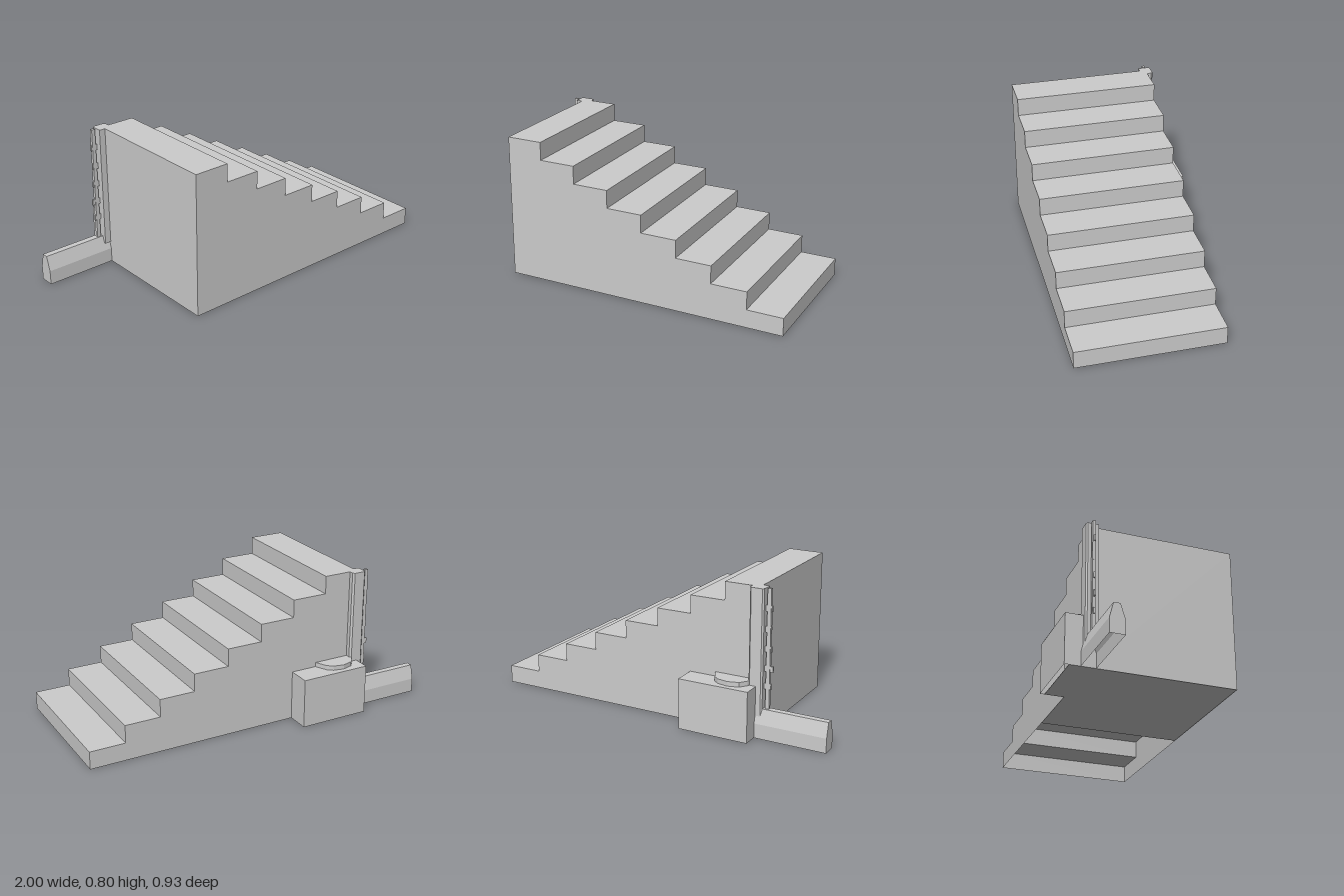
import * as THREE from 'three';

export function createModel() {
  const model = new THREE.Group();
  const mat = new THREE.MeshStandardMaterial({ color: 0xcccccc, flatShading: true, side: THREE.DoubleSide });
  const add = (name, geo, parent = model) => {
    const mesh = new THREE.Mesh(geo, mat);
    mesh.name = name;
    parent.add(mesh);
    return mesh;
  };
  const group = (name) => {
    const g = new THREE.Group();
    g.name = name;
    model.add(g);
    return g;
  };
  const box = (name, x0, x1, y0, y1, z0, z1, parent) =>
    add(name, new THREE.BoxGeometry(x1 - x0, y1 - y0, z1 - z0), parent)
      .position.set((x0 + x1) / 2, (y0 + y1) / 2, (z0 + z1) / 2);
  // Flat rectangle, centred and turned
  const panel = (name, w, h, pos, rot, parent) => {
    const m = add(name, new THREE.PlaneGeometry(w, h), parent);
    m.position.set(...pos);
    m.rotation.set(...rot);
  };
  // Prism standing upright from a plan outline of [x, z] points
  const upright = (name, pts, y0, y1) => {
    const shape = new THREE.Shape(pts.map(([x, z]) => new THREE.Vector2(x, -z)));
    const geo = new THREE.ExtrudeGeometry(shape, { depth: y1 - y0, bevelEnabled: false });
    geo.rotateX(-Math.PI / 2);
    add(name, geo).position.y = y0;
  };

  // Staircase: a thin shell, open underneath at its low end
  const stairs = group('staircase');
  const steps = 8, run = 0.2, rise = 0.1, back = -0.335, front = 0.465;
  const depth = front - back, midZ = (front + back) / 2;
  const outline = [new THREE.Vector2(-0.6, 0), new THREE.Vector2(1, 0)];
  for (let i = 0; i < steps; i++) {
    const x = 1 - i * run, y = (i + 1) * rise;
    outline.push(new THREE.Vector2(x, y), new THREE.Vector2(x - run, y));
    panel('tread', run, depth, [x - run / 2, y, midZ], [-Math.PI / 2, 0, 0], stairs);
    panel('riser', depth, rise, [x, y - rise / 2, midZ], [0, Math.PI / 2, 0], stairs);
  }
  panel('endWall', depth, steps * rise, [-0.6, steps * rise / 2, midZ], [0, -Math.PI / 2, 0], stairs);
  add('frontWall', new THREE.ShapeGeometry(new THREE.Shape(outline)), stairs).position.z = front;
  const backWall = add('backWall', new THREE.ShapeGeometry(new THREE.Shape(outline)), stairs);
  backWall.geometry.scale(1, 1, -1);
  backWall.position.z = back;
  box('floorSlab', -0.599, 0.2, 0.002, rise, back + 0.001, front - 0.001, stairs);

  // Side box, open at the bottom, with a thin plate beneath
  const sideBox = group('sideBox');
  panel('boxTop', 0.4, 0.13, [-0.4, 0.28, -0.4], [-Math.PI / 2, 0, 0], sideBox);
  panel('boxBack', 0.4, 0.28, [-0.4, 0.14, -0.465], [0, Math.PI, 0], sideBox);
  for (const [x, turn] of [[-0.6, -1], [-0.2, 1]])
    panel('boxEnd', 0.13, 0.28, [x, 0.14, -0.4], [0, turn * Math.PI / 2, 0], sideBox);
  box('basePlate', -0.6, -0.2, 0, 0.003, -0.44, -0.23);

  // Faceted cap on the box
  upright('cap', [[-0.35, -0.336], [-0.38, -0.4], [-0.41, -0.425], [-0.47, -0.437],
    [-0.53, -0.42], [-0.56, -0.38], [-0.57, -0.336]], 0.28, 0.305);

  // Kerb rail: bevelled section swept along x, open below
  const section = [[-0.3, 0], [-0.3, 0.08], [-0.325, 0.16], [-0.36, 0.16], [-0.38, 0.08], [-0.38, 0]];
  const rail = group('rail');
  const railShape = new THREE.Shape(section.map(([z, y]) => new THREE.Vector2(-z, y)));
  for (const x of [-1, -0.6]) {
    const end = add('railEnd', new THREE.ShapeGeometry(railShape), rail);
    end.geometry.rotateY(Math.PI / 2);
    if (x === -1) end.geometry.index.array.reverse();
    end.geometry.computeVertexNormals();
    end.position.x = x;
  }
  const verts = [], index = [];
  section.forEach(([z, y], i) => {
    verts.push(-1, y, z, -0.6, y, z);
    if (i) index.push(2 * i - 2, 2 * i - 1, 2 * i, 2 * i - 1, 2 * i + 1, 2 * i);
  });
  const skin = new THREE.BufferGeometry();
  skin.setAttribute('position', new THREE.Float32BufferAttribute(verts, 3));
  skin.setIndex(index);
  const flatSkin = skin.toNonIndexed();
  flatSkin.computeVertexNormals();
  add('railSkin', flatSkin, rail);

  // Corner post wrapping the stair's rear edge
  upright('cornerPost', [[-0.635, -0.362], [-0.627, -0.37], [-0.565, -0.37], [-0.555, -0.36], [-0.555, -0.335],
    [-0.6, -0.335], [-0.6, -0.302], [-0.635, -0.302]], 0.12, 0.8);

  // Slim bar beside the post, joined by small lugs
  box('slimBar', -0.666, -0.645, 0.16, 0.8, -0.347, -0.33);
  for (const [y, x] of [[0.28, -0.672], [0.375, -0.682], [0.48, -0.672], [0.585, -0.668], [0.695, -0.672]])
    box('lug', x, -0.63, y - 0.016, y + 0.016, -0.343, -0.333);

  return model;
}
